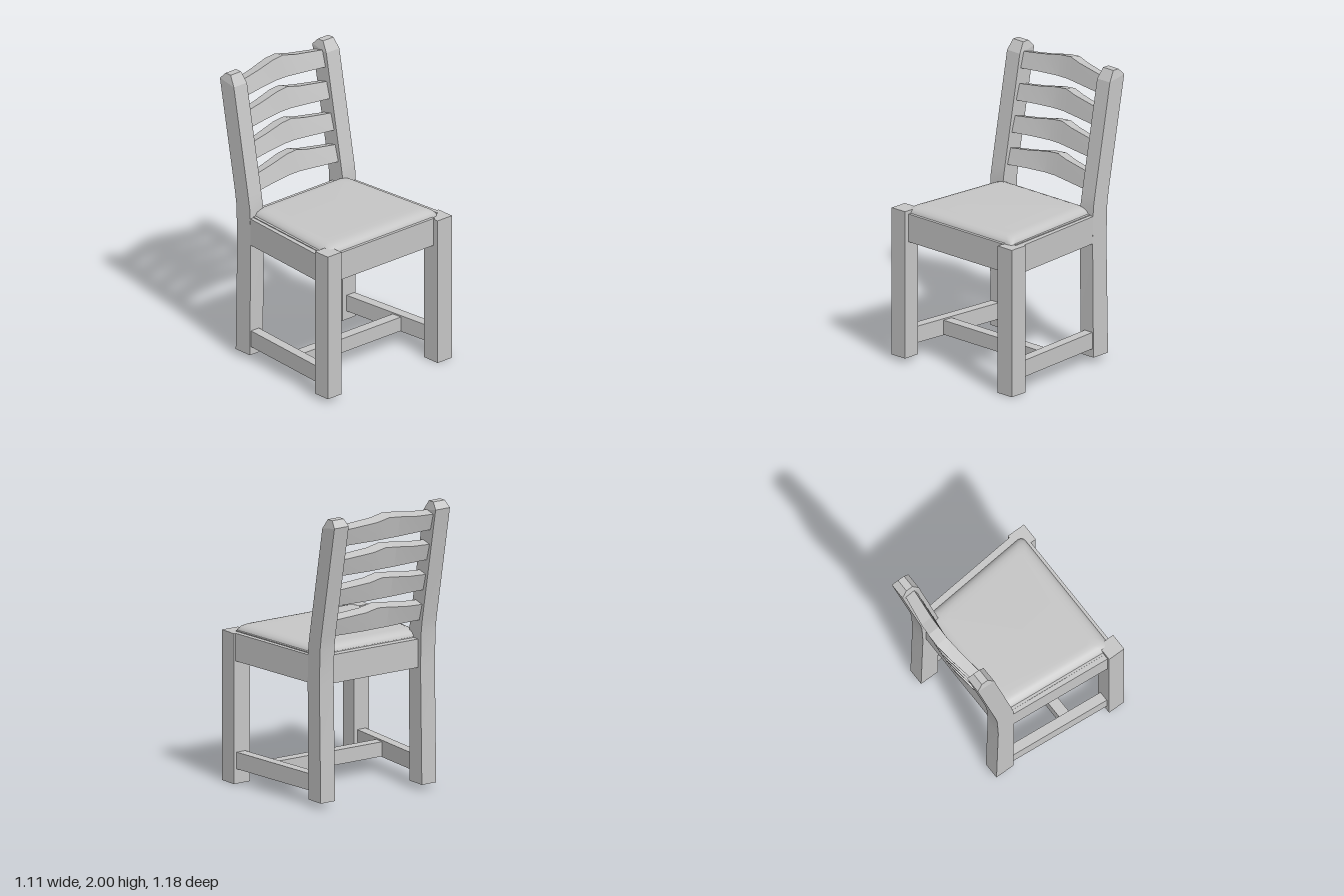
import * as THREE from 'three';
import { toCreasedNormals } from 'three/addons/utils/BufferGeometryUtils.js';

// Skin a stack of rings (counterclockwise seen from the last ring's end) and cap both ends
function loft(rings, crease = 0.5) {
  const n = rings[0].length, index = [], last = (rings.length - 1) * n;
  for (let r = 0; r < rings.length - 1; r++) {
    for (let i = 0; i < n; i++) {
      const a = r * n + i, b = r * n + (i + 1) % n;
      index.push(a, b, b + n, a, b + n, a + n);
    }
  }
  for (let i = 1; i < n - 1; i++) index.push(0, i + 1, i, last, last + i, last + i + 1);
  const geo = new THREE.BufferGeometry();
  geo.setAttribute('position', new THREE.Float32BufferAttribute(rings.flat(2), 3));
  geo.setIndex(index);
  return toCreasedNormals(geo, crease);
}

// Four-cornered plan section: x range at its front edge and at its back edge
function section(y, zf, [a, b], zb, [c, d] = [a, b], yb = y) {
  return [[a, y, zf], [b, y, zf], [d, yb, zb], [c, yb, zb]];
}

// Range mirrored to the chosen side, kept in ascending order
const side = (s, lo, hi) => (s > 0 ? [lo, hi] : [-hi, -lo]);

// Rounded trapezoid section of the cushion
function cushionRing(y, inset, r) {
  const zf = 0.54 - inset, zb = -0.33 + inset, ring = [];
  const halfWidth = z => 0.43 + 0.075 * (z + 0.33) / 0.87 - inset;
  const corners = [[-1, 1, Math.PI], [1, 1, Math.PI / 2], [1, -1, 0], [-1, -1, -Math.PI / 2]];
  for (const [sx, sz, start] of corners) {
    for (let k = 0; k <= 5; k++) {
      const t = start - (k / 5) * Math.PI / 2;
      // angle measured from +x toward +z, running counterclockwise from above
      const z = (sz > 0 ? zf - r : zb + r) + r * Math.sin(t);
      ring.push([sx * (halfWidth(z) - r) + r * Math.cos(t), y, z]);
    }
  }
  return ring;
}

export function createModel() {
  const chair = new THREE.Group();
  chair.name = 'chair';
  const grey = new THREE.MeshStandardMaterial({ color: 0xc6c6c6 });
  grey.name = 'plain grey';
  const add = (name, geo) => {
    const mesh = new THREE.Mesh(geo, grey);
    mesh.name = name;
    chair.add(mesh);
  };
  const beam = (name, y0, y1, ...plan) =>
    add(name, loft([section(y0, ...plan), section(y1, ...plan)]));

  // Front legs, slightly uneven in height
  beam('rightFrontLeg', 0.03, 1.06, 0.585, [-0.555, -0.433], 0.46);
  beam('leftFrontLeg', 0, 1.03, 0.59, [0.422, 0.552], 0.457);

  for (const s of [-1, 1]) {
    const label = s > 0 ? 'left' : 'right';

    // Back leg and raked post in one piece, with a chamfered tip
    const x = side(s, 0.355, 0.472), tip = side(s, 0.367, 0.46);
    add(label + 'BackPost', loft([
      section(0.04, -0.273, x, -0.412),
      section(0.85, -0.265, x, -0.397),
      section(1.09, -0.272, x, -0.405),
      section(1.18, -0.288, x, -0.418),
      section(1.93, -0.43, x, -0.567, x, 1.955),
      section(2.0, -0.475, tip, -0.525, tip, 2.0),
    ], 0.15));

    // Side rail under the seat and low side stretcher, both splayed to the front
    beam(label + 'SeatRail', 0.84, 1.03, 0.47, side(s, 0.478, 0.538), -0.285, side(s, 0.41, 0.47));
    beam(label + 'Stretcher', 0.1, 0.215, 0.47, side(s, 0.46, 0.53), -0.285, side(s, 0.392, 0.462));
  }

  // Front and back seat rails and the cross stretcher
  beam('frontSeatRail', 0.84, 1.035, 0.55, [-0.44, 0.43], 0.49);
  beam('backSeatRail', 0.835, 1.03, -0.31, [-0.36, 0.36], -0.37);
  beam('crossStretcher', 0.105, 0.205, 0.215, [-0.45, 0.45], 0.14);

  // Upholstered seat with a soft upper edge
  add('seatBase', loft([
    section(0.93, 0.5, [-0.49, 0.49], -0.32, [-0.42, 0.42]),
    section(1.036, 0.5, [-0.505, 0.505], -0.32, [-0.44, 0.44]),
  ]));
  add('seatCushion', loft([
    cushionRing(1.02, 0.01, 0.04), cushionRing(1.04, 0.012, 0.04),
    cushionRing(1.058, 0.025, 0.045), cushionRing(1.071, 0.045, 0.05),
    cushionRing(1.078, 0.07, 0.05), cushionRing(1.08, 0.1, 0.05),
  ], 0.9));

  // Four bowed, arched back slats: x, bottom rise, top rise, backward bow
  const profile = [
    [-0.37, -0.012, -0.05, 0], [-0.2, -0.004, -0.033, 0.022], [-0.05, 0, -0.008, 0.038],
    [0.04, 0, 0, 0.038], [0.13, -0.005, -0.022, 0.03], [0.37, -0.014, -0.048, 0],
  ];
  for (let i = 0; i < 4; i++) {
    const y = 1.195 + i * 0.215, z = -0.31 - i * 0.042;
    add('backSlat' + (i + 1), loft(profile.map(([x, low, high, bow]) => {
      const zf = z - bow, depth = 0.07 + bow * 0.4;
      return [
        [x, y + low, zf], [x, y - 0.02 + low, zf - depth],
        [x, y + 0.13 + high, zf - 0.031 - depth], [x, y + 0.147 + high, zf - 0.031],
      ];
    }), 0.1));
  }
  return chair;
}
